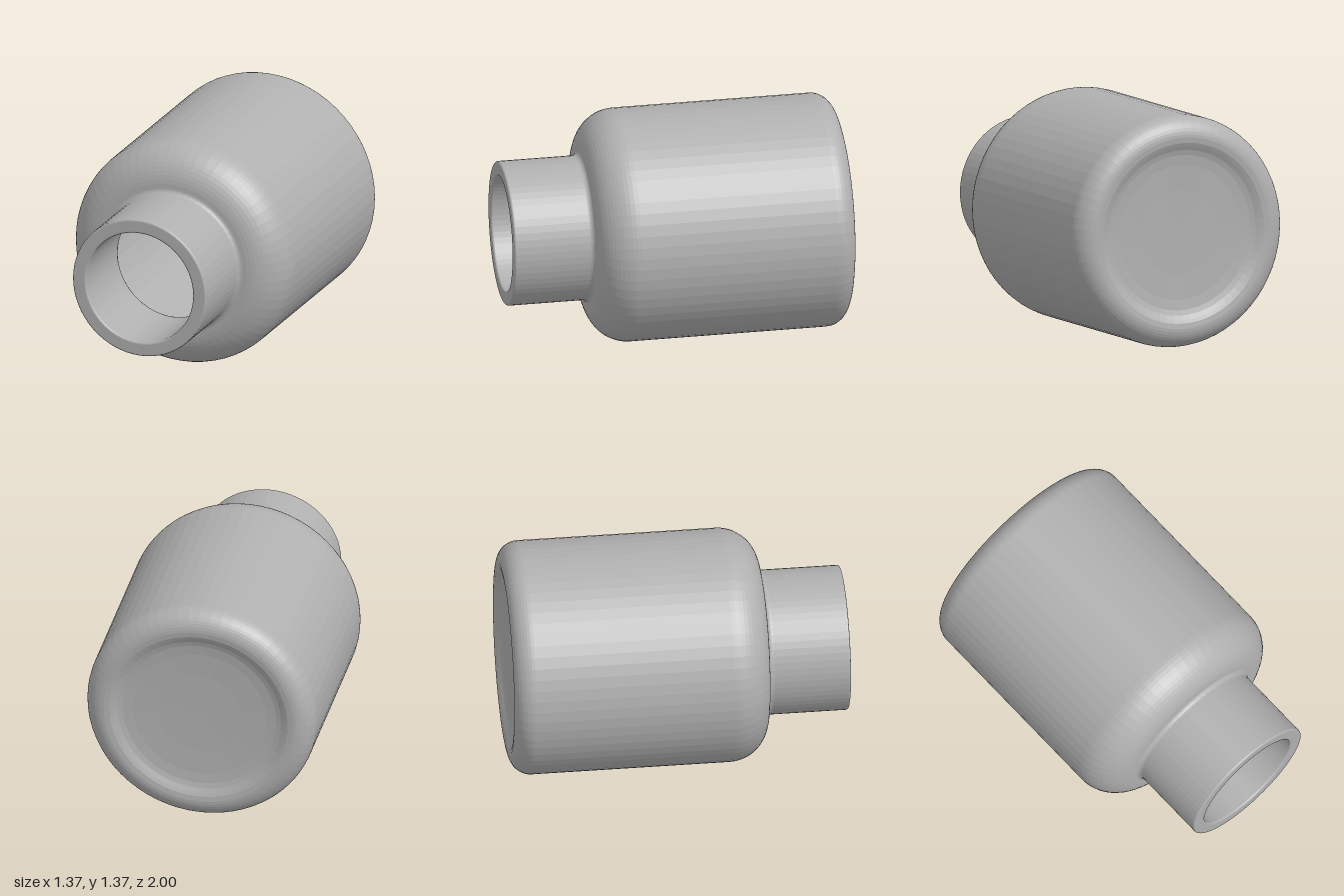
import * as THREE from 'three';

const RAD = Math.PI / 180;

// Points along an arc of the profile: x = radius, y = distance along the bottle
function arc(cx, cy, r, from, to, steps) {
  const pts = [];
  for (let i = 0; i <= steps; i++) {
    const a = (from + (to - from) * i / steps) * RAD;
    pts.push(new THREE.Vector2(cx + r * Math.cos(a), cy + r * Math.sin(a)));
  }
  return pts;
}

// Shallow dish in the base
function dish() {
  const pts = [[0, -0.95], [0.25, -0.952], [0.4, -0.958], [0.46, -0.965], [0.49, -0.974], [0.515, -0.987], [0.535, -0.996]];
  return pts.map(([r, y]) => new THREE.Vector2(r, y));
}

export function createModel() {
  const group = new THREE.Group();
  group.name = 'bottle';
  const grey = new THREE.MeshStandardMaterial({ color: 0xb0b0b0, flatShading: true });
  grey.name = 'grey';

  function turned(name, profile) {
    const geometry = new THREE.LatheGeometry(profile, 64);
    geometry.rotateX(Math.PI / 2); // lay the axis along z, mouth to the front
    const mesh = new THREE.Mesh(geometry, grey);
    mesh.name = name;
    mesh.position.y = 0.687;
    group.add(mesh);
  }

  // Outer skin: dished base, round heel, wall, shoulder, fillet into the neck, lip
  turned('outerShell', [
    ...dish(),
    ...arc(0.567, -0.88, 0.12, -90, 0, 10),
    ...arc(0.455, 0.288, 0.232, 0, 90, 14),
    ...arc(0.455, 0.55, 0.03, -90, -180, 6),
    ...arc(0.413, 0.988, 0.012, 0, 90, 4),
    ...arc(0.352, 0.988, 0.012, 90, 180, 4),
  ]);

  // Inner skin: bore of the neck, flared throat, hollow body, floor
  turned('innerShell', [
    new THREE.Vector2(0.34, 0.988),
    ...arc(0.455, 0.55, 0.115, -180, -90, 8),
    ...arc(0.455, 0.288, 0.147, 90, 0, 10),
    ...arc(0.542, -0.81, 0.06, 0, -90, 6),
    new THREE.Vector2(0, -0.87),
  ]);

  return group;
}
